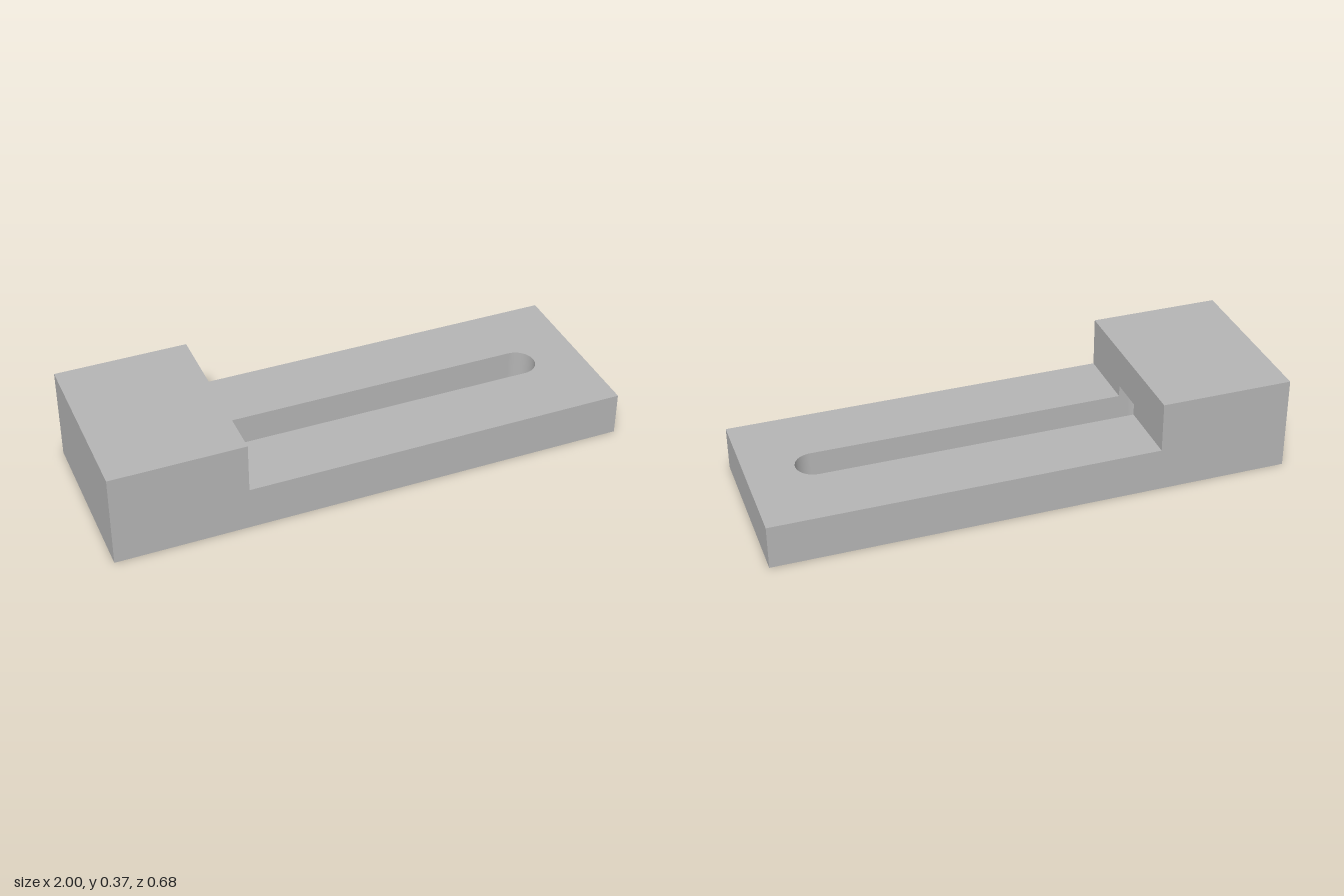
import * as THREE from 'three';

// Slotted clamp: flat deck with a raised block at one end and a rounded through slot
const L = 1, W = 0.34, DECK = 0.17, TOP = 0.366, STEP = -0.49;
const R = 0.072, SLOT_A = -0.527, SLOT_B = 0.742, CEIL = 0.215;

const v = (x, y) => new THREE.Vector2(x, y);
const rect = (x0, y0, x1, y1) => [v(x0, y0), v(x1, y0), v(x1, y1), v(x0, y1)];

// Half circle of points in the ground plane
function arc(cx, from, n = 24) {
  return Array.from({ length: n + 1 }, (_, i) => {
    const t = from + (Math.PI * i) / n;
    return v(cx + R * Math.cos(t), R * Math.sin(t));
  });
}

// Flat face, optionally with a hole
function face(points, hole) {
  const shape = new THREE.Shape(points);
  if (hole) shape.holes.push(new THREE.Path(hole));
  return new THREE.ShapeGeometry(shape);
}

// Smooth upright wall along the slot outline, facing into the slot
function wall(points, y0, y1) {
  const pos = [], nor = [], idx = [];
  points.forEach((p, i) => {
    const ax = THREE.MathUtils.clamp(p.x, SLOT_A, SLOT_B);
    for (const y of [y0, y1]) {
      pos.push(p.x, y, p.y);
      nor.push((ax - p.x) / R, 0, -p.y / R);
    }
    if (i < points.length - 1) {
      const a = 2 * i;
      idx.push(a, a + 2, a + 3, a, a + 3, a + 1);
    }
  });
  const g = new THREE.BufferGeometry();
  g.setAttribute('position', new THREE.Float32BufferAttribute(pos, 3));
  g.setAttribute('normal', new THREE.Float32BufferAttribute(nor, 3));
  g.setIndex(idx);
  return g;
}

export function createModel() {
  const group = new THREE.Group();
  group.name = 'slottedClamp';
  const steel = new THREE.MeshStandardMaterial({ color: 0xb4b4b4 });
  steel.name = 'grey steel';
  const add = (name, geometry) => {
    const mesh = new THREE.Mesh(geometry, steel);
    mesh.name = name;
    group.add(mesh);
  };
  const H = Math.PI / 2;

  const outerEnd = arc(SLOT_B, -H), innerEnd = arc(SLOT_A, H);
  const slot = [...outerEnd, ...innerEnd];
  const pocket = [v(STEP, R), ...innerEnd, v(STEP, -R)];

  // Horizontal faces
  add('underside', face(rect(-L, -W, L, W), slot).rotateX(H));
  add('deckTop', face([
    v(STEP, -W), v(L, -W), v(L, W), v(STEP, W), v(STEP, R), ...[...outerEnd].reverse(), v(STEP, -R),
  ]).rotateX(-H).translate(0, DECK, 0));
  add('blockTop', face(rect(-L, -W, STEP, W)).rotateX(-H).translate(0, TOP, 0));

  // Stepped long sides
  const profile = (s) => [v(-L, 0), v(L, 0), v(L, DECK), v(STEP, DECK), v(STEP, TOP), v(-L, TOP)]
    .map((p) => v(p.x * s, p.y));
  add('frontSide', face(profile(1)).translate(0, 0, W));
  add('backSide', face(profile(-1)).rotateY(Math.PI).translate(0, 0, -W));

  // End faces, and the step with its slot mouth
  add('deckEnd', face(rect(-W, 0, W, DECK)).rotateY(H).translate(L, 0, 0));
  add('blockEnd', face(rect(-W, 0, W, TOP)).rotateY(-H).translate(-L, 0, 0));
  add('stepFace', face([
    v(-W, DECK), v(-R, DECK), v(-R, CEIL), v(R, CEIL), v(R, DECK), v(W, DECK), v(W, TOP), v(-W, TOP),
  ]).rotateY(H).translate(STEP, 0, 0));

  // Slot walls and the pocket running under the block
  add('slotWall', wall([...slot, slot[0]], 0, DECK));
  add('pocketWall', wall(pocket, DECK, CEIL));
  add('pocketCeiling', face(pocket).rotateX(H).translate(0, CEIL, 0));

  return group;
}
